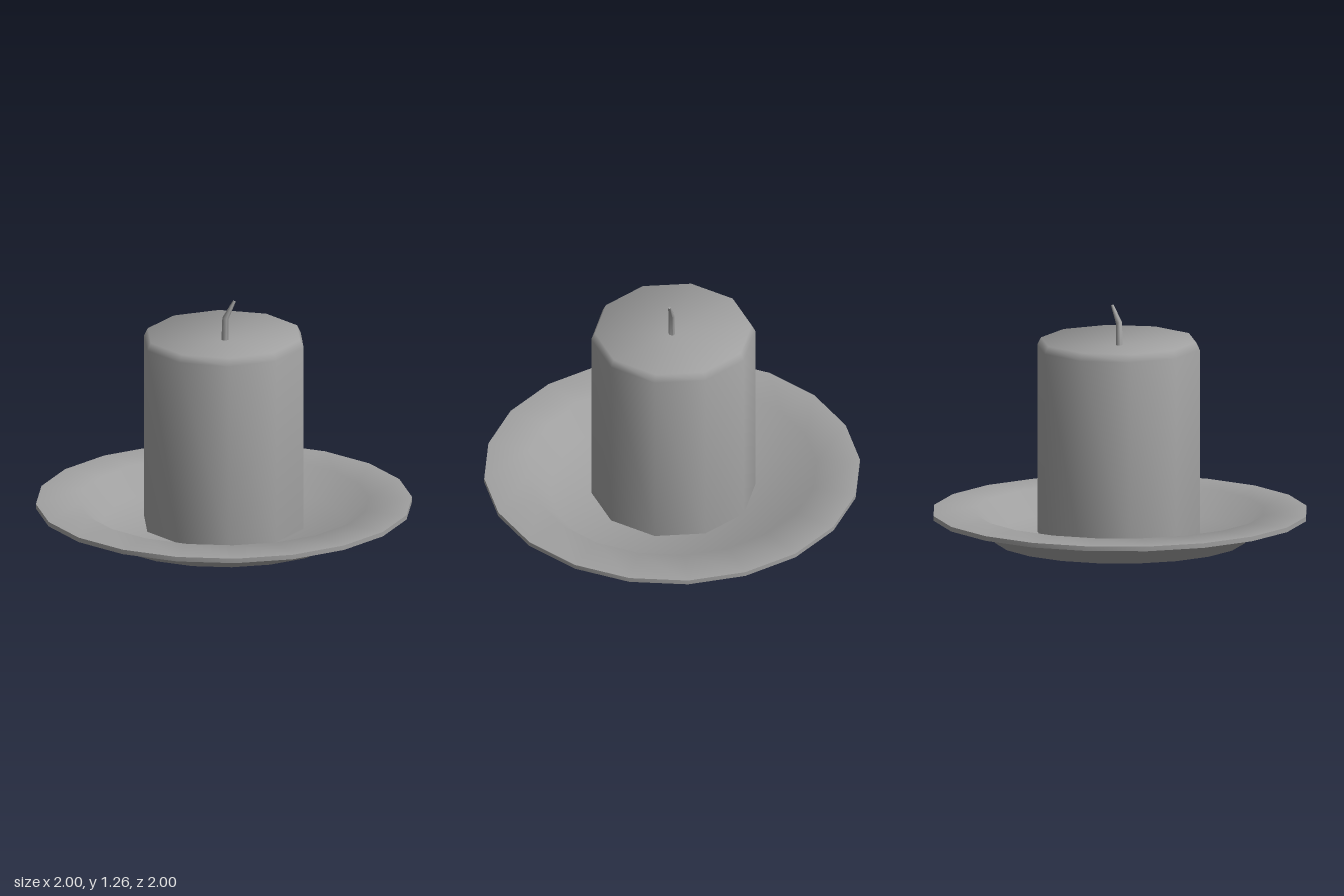
import * as THREE from 'three';
import { toCreasedNormals } from 'three/addons/utils/BufferGeometryUtils.js';

const material = new THREE.MeshStandardMaterial({ color: 0xa0a0a0 });

function addMesh(parent, name, geometry) {
  const mesh = new THREE.Mesh(geometry, material);
  mesh.name = name;
  parent.add(mesh);
  return mesh;
}

// Turned solid; profile is [radius, height] pairs, first corner on the x axis
function turned(profile, sides) {
  const points = profile.map(([r, y]) => new THREE.Vector2(r, y));
  return new THREE.LatheGeometry(points, sides, Math.PI / 2);
}

// Turned solid with soft shading: neighbouring bands count equally at each ring
function softTurned(profile, sides) {
  const geometry = turned(profile, sides);
  const bands = profile.slice(1).map(([r, y], i) =>
    new THREE.Vector2(y - profile[i][1], profile[i][0] - r).normalize());
  const rings = profile.map(([r], i) => {
    const before = bands[Math.max(i - 1, 0)];
    const after = bands[Math.min(i, bands.length - 1)];
    return r === 0 ? new THREE.Vector2(0, 1) : before.clone().add(after).normalize();
  });
  const { position, normal } = geometry.attributes;
  for (let i = 0; i < position.count; i++) {
    const n = rings[i % rings.length];
    const angle = Math.atan2(position.getX(i), position.getZ(i));
    normal.setXYZ(i, n.x * Math.sin(angle), n.y, n.x * Math.cos(angle));
  }
  return geometry;
}

// Bent, tapering wick: each row of a cylinder is moved to its own ring
function wickGeometry() {
  const rings = [
    { x: 0.004, y: 1.02, r: 0.019 },
    { x: 0.008, y: 1.17, r: 0.017 },
    { x: 0.059, y: 1.26, r: 0.008 },
  ];
  const geometry = new THREE.CylinderGeometry(1, 1, 2, 6, 2);
  const pos = geometry.attributes.position;
  for (let i = 0; i < pos.count; i++) {
    const row = Math.round(pos.getY(i)) + 1;
    const { x, y, r } = rings[row];
    const tilt = row === 0 ? 0 : -0.3; // rings lean with the bend
    const px = pos.getX(i) * r;
    pos.setXYZ(i, x + px * Math.cos(tilt), y + px * Math.sin(tilt), pos.getZ(i) * r);
  }
  return toCreasedNormals(geometry, Math.PI / 3 + 0.1);
}

export function createModel() {
  const model = new THREE.Group();
  model.name = 'candleOnPlate';

  // Plate: crisp outer shell and a smooth dished top
  const plate = new THREE.Group();
  plate.name = 'plate';
  model.add(plate);
  const shell = turned([[0, 0], [0.67, 0], [0.79, 0.13], [1, 0.13], [1, 0.155]], 20);
  addMesh(plate, 'plateUnderside', toCreasedNormals(shell, Math.PI / 6));
  addMesh(plate, 'plateTop', softTurned([[1, 0.155], [0.77, 0.155], [0.65, 0.03], [0, 0.03]], 20));

  // Candle with a softly bevelled rim and a slightly sunken top
  const candle = addMesh(model, 'candle',
    softTurned([[0.437, 0.02], [0.437, 1.04], [0.417, 1.08], [0, 1.05]], 10));
  candle.position.set(0.003, 0, -0.008);

  addMesh(model, 'wick', wickGeometry());
  return model;
}
